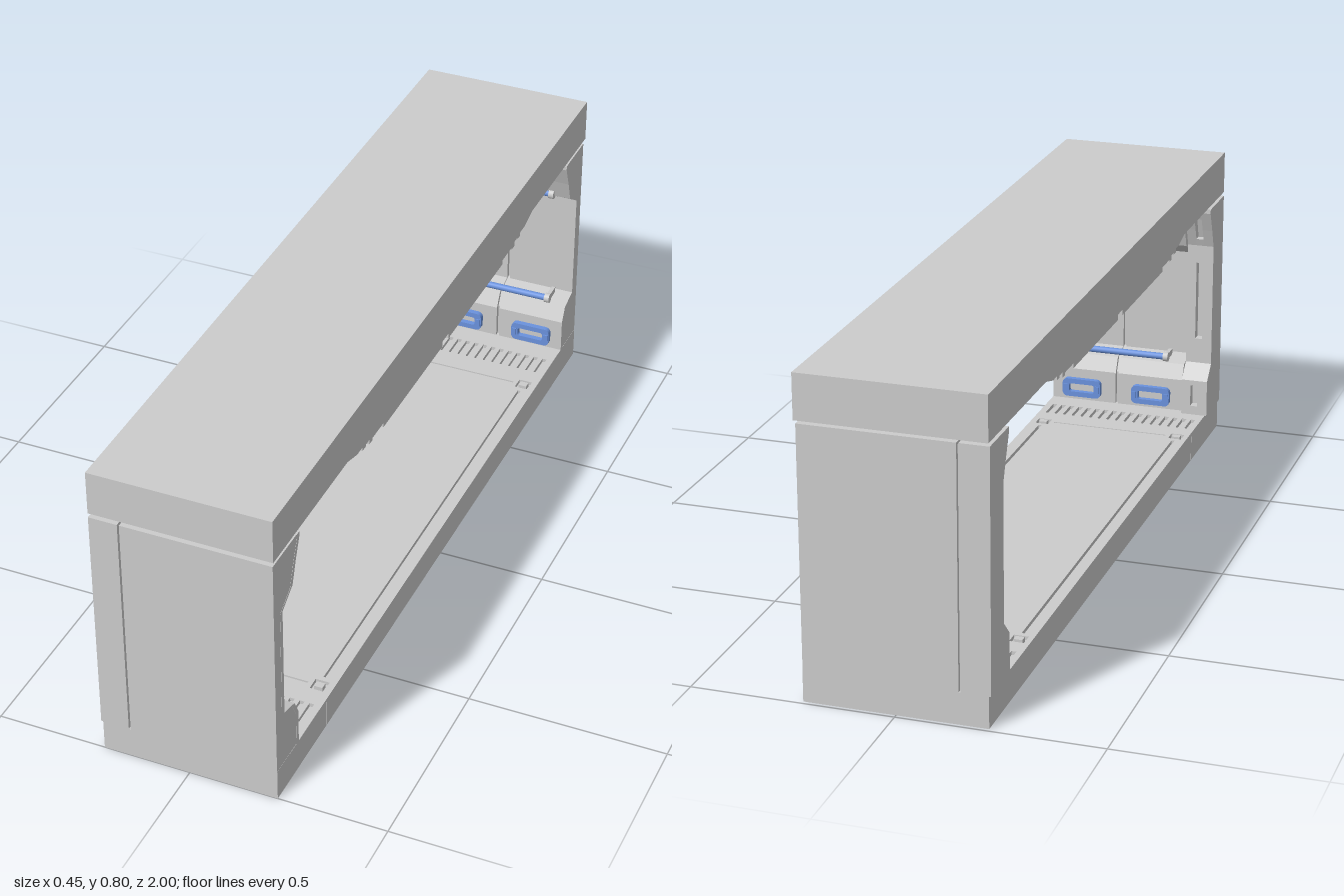
import * as THREE from 'three';

const grey = new THREE.MeshStandardMaterial({ color: 0xcccccc, flatShading: true });
const smooth = new THREE.MeshStandardMaterial({ color: 0xcccccc });
const blue = new THREE.MeshStandardMaterial({ color: 0x6a92dd });

export function createModel() {
  const root = new THREE.Group();

  const add = (parent, name, geo, mat = grey) => {
    const m = new THREE.Mesh(geo, mat);
    m.name = name;
    parent.add(m);
    return m;
  };
  const box = (parent, name, x0, x1, y0, y1, z0, z1, mat) =>
    add(parent, name, new THREE.BoxGeometry(x1 - x0, y1 - y0, Math.abs(z1 - z0))
      .translate((x0 + x1) / 2, (y0 + y1) / 2, (z0 + z1) / 2), mat);
  // side profile of [z, y] points swept from x0 to x1
  const sweep = (parent, name, pts, x0, x1) => {
    const shape = new THREE.Shape(pts.map(([z, y]) => new THREE.Vector2(z, y)));
    const geo = new THREE.ExtrudeGeometry(shape, { depth: x1 - x0, bevelEnabled: false });
    return add(parent, name, geo.rotateY(-Math.PI / 2).translate(x1, 0, 0));
  };
  const rect = (C, x0, x1, y0, y1) => new C([[x0, y0], [x1, y0], [x1, y1], [x0, y1]]
    .map(p => new THREE.Vector2(...p)));
  const roundRect = (C, w, h, r) => {
    const p = new C(), a = w / 2 - r, b = h / 2 - r;
    p.absarc(a, b, r, 0, Math.PI / 2);
    p.absarc(-a, b, r, Math.PI / 2, Math.PI);
    p.absarc(-a, -b, r, Math.PI, Math.PI * 1.5);
    p.absarc(a, -b, r, Math.PI * 1.5, Math.PI * 2);
    p.closePath();
    return p;
  };

  // Roof slab with the stepped ceiling hung below it
  const roof = new THREE.Group();
  roof.name = 'roof';
  root.add(roof);
  box(roof, 'roofSlab', -0.227, 0.226, 0.688, 0.8, -1, 1);
  const half = [[0.02, 0.662], [0.02, 0.648], [0.385, 0.648], [0.385, 0.66], [0.45, 0.66], [0.45, 0.654],
    [0.47, 0.654], [0.47, 0.667], [0.49, 0.667], [0.49, 0.662], [0.51, 0.662], [0.51, 0.672],
    [0.54, 0.672], [0.6, 0.689]];
  sweep(roof, 'steppedCeiling',
    [...half.map(([z, y]) => [-z, y]).reverse(), ...half], -0.226, 0.226);

  // Floor: base in two sections, top plate with grille slots and seams
  const floor = new THREE.Group();
  floor.name = 'floor';
  root.add(floor);
  box(floor, 'floorBase', -0.222, 0.225, 0, 0.07, -0.99, 0.719);
  box(floor, 'floorFrontSection', -0.222, 0.225, 0, 0.07, 0.722, 1);
  const plate = rect(THREE.Shape, -0.222, 0.225, -1, 0.99);
  for (const s of [-1, 1]) {
    const hole = (x0, x1, z0, z1) => plate.holes.push(
      rect(THREE.Path, x0, x1, Math.min(s * z0, s * z1), Math.max(s * z0, s * z1)));
    for (let i = 0; i < 17; i++) {
      const x = -0.2 + i * 0.025;
      hole(x - 0.006, x + 0.006, 0.75, 0.82);
    }
    hole(-0.16, 0.16, 0.68, 0.685);
    plate.holes.push(rect(THREE.Path, s * 0.19 - 0.004, s * 0.19 + 0.004, -0.65, 0.65));
    for (const x of [-0.19, 0.19]) {
      hole(x - 0.018, x + 0.018, 0.664, 0.7);
      box(floor, 'floorClamp', x - 0.011, x + 0.011, 0.07, 0.082, s * 0.673, s * 0.691);
    }
  }
  add(floor, 'floorPlate', new THREE.ExtrudeGeometry(plate, { depth: 0.01, bevelEnabled: false })
    .rotateX(-Math.PI / 2).translate(0, 0.07, 0));

  // End walls, mirrored front to back
  const panel = [[0.88, 0.08], [0.88, 0.17], [0.9, 0.21], [0.955, 0.225], [0.955, 0.52],
    [0.9, 0.555], [0.882, 0.61], [0.86, 0.665], [0.86, 0.677]];
  const rib = [[0.86, 0.08], [0.86, 0.18], [0.9, 0.22], [0.9, 0.56], [0.882, 0.61], [0.86, 0.665], [0.86, 0.677]];
  // the same rib profile with three recessed slots
  const slotted = [[0.86, 0.08], [0.86, 0.105], [0.885, 0.105], [0.885, 0.165], [0.86, 0.165], [0.86, 0.18],
    [0.9, 0.22], [0.9, 0.29], [0.925, 0.29], [0.925, 0.51], [0.9, 0.51], [0.9, 0.56],
    [0.893, 0.58], [0.915, 0.58], [0.895, 0.645], [0.868, 0.645], [0.86, 0.665], [0.86, 0.677]];
  const mid = 0.038;

  for (const s of [1, -1]) {
    const wall = new THREE.Group();
    wall.name = s > 0 ? 'frontWall' : 'backWall';
    root.add(wall);
    const outer = s > 0 ? 1 : 0.99;
    const profile = (pts, inset = 0) => [[outer, 0.08], ...pts.map(([z, y]) => [z + inset, y]), [outer, 0.677]]
      .map(([z, y]) => [s * z, y]);

    // slotted rib along one edge, set off by a narrow joint
    sweep(wall, 'ribSide', profile(rib), -0.227, -0.2);
    sweep(wall, 'ribSlots', profile(slotted), -0.2, -0.18);
    sweep(wall, 'ribSide', profile(rib), -0.18, -0.155);
    box(wall, 'ribJoint', -0.156, -0.149, 0.08, 0.67, s * 0.965, s * 0.98);

    // panel halves over an inset backing that forms the centre groove
    sweep(wall, 'wallBacking', profile(panel, 0.012), -0.15, 0.2245);
    const skin = [...panel, ...panel.map(([z, y]) => [z + 0.013, y]).reverse()].map(([z, y]) => [s * z, y]);
    sweep(wall, 'wallPanel', skin, -0.15, mid - 0.004);
    sweep(wall, 'wallPanel', skin, mid + 0.004, 0.225);

    // grab rails held by end brackets
    for (const y of [0.228, 0.56]) {
      add(wall, 'grabRail', new THREE.CylinderGeometry(0.009, 0.009, 0.26, 16)
        .rotateZ(Math.PI / 2).translate(mid, y, s * 0.898), blue);
      for (const e of [-1, 1]) {
        add(wall, 'railCap', new THREE.CylinderGeometry(0.013, 0.013, 0.014, 16)
          .rotateZ(Math.PI / 2).translate(mid + e * 0.136, y, s * 0.898), smooth);
        box(wall, 'railBracket', mid + e * 0.136 - 0.005, mid + e * 0.136 + 0.005,
          y - 0.008, y + 0.008, s * 0.9, s * 0.945);
      }
    }

    // rounded frames on the lower bench
    for (const x of [mid - 0.1, mid + 0.1]) {
      const ring = roundRect(THREE.Shape, 0.11, 0.052, 0.014);
      ring.holes.push(roundRect(THREE.Path, 0.072, 0.024, 0.006));
      add(wall, 'benchFrame', new THREE.ExtrudeGeometry(ring, { depth: 0.016, bevelEnabled: false, curveSegments: 5 })
        .translate(x, 0.118, s * 0.873 - 0.008), blue);
      for (const e of [-1, 1]) {
        box(wall, 'frameClip', x + e * 0.046 - 0.006, x + e * 0.046 + 0.006, 0.108, 0.128, s * 0.861, s * 0.88, blue);
      }
    }
  }
  return root;
}
